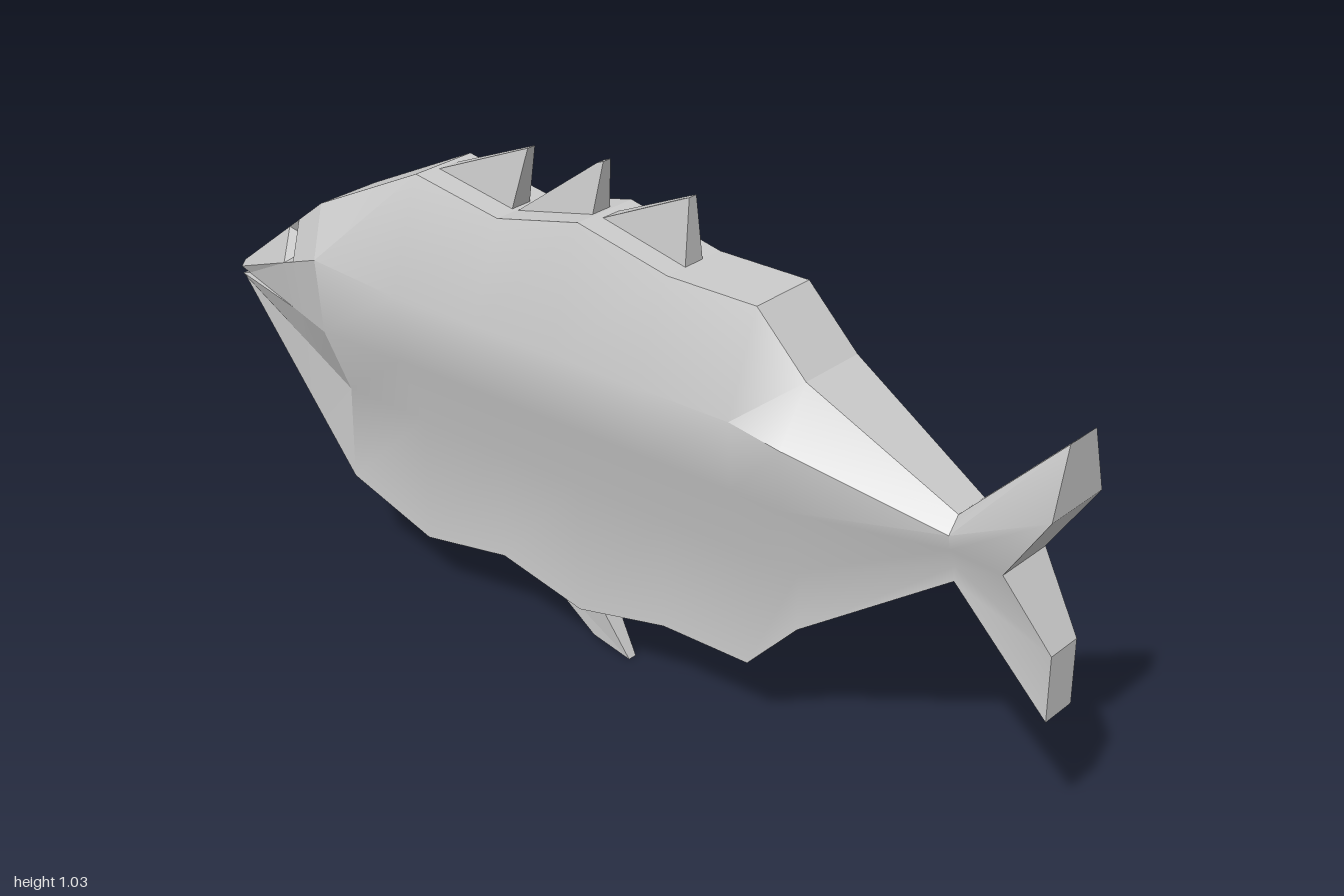
import * as THREE from 'three';
import { toCreasedNormals } from 'three/addons/utils/BufferGeometryUtils.js';

const flip = ([x, y, z]) => [x, y, -z];
const mirrored = (quads) => quads.map((q) => q.map(flip).reverse());
const mix = (a, b, t) => a.map((v, k) => v + (b[k] - v) * t);

// Mesh from convex polygons, flat or with smoothed shallow creases
function makeMesh(name, polys, crease = 0) {
  const pos = [];
  for (const p of polys)
    for (let i = 1; i < p.length - 1; i++) pos.push(...p[0], ...p[i], ...p[i + 1]);
  let geo = new THREE.BufferGeometry();
  geo.setAttribute('position', new THREE.Float32BufferAttribute(pos, 3));
  if (crease) geo = toCreasedNormals(geo, crease);
  else geo.computeVertexNormals();
  const mesh = new THREE.Mesh(geo, new THREE.MeshStandardMaterial({ color: 0xcccccc, flatShading: !crease }));
  mesh.name = name;
  return mesh;
}

// Flank between sections; each section lists [x, y, half width] from back to belly
function flank(sections, skip = () => false) {
  const quads = [];
  for (let i = 0; i < sections.length - 1; i++)
    for (let j = 0; j < sections[i].length - 1; j++)
      if (!skip(i, j)) quads.push([sections[i][j + 1], sections[i + 1][j + 1], sections[i + 1][j], sections[i][j]]);
  return quads;
}

// Strips across the back and belly
function ridges(sections) {
  const quads = [];
  for (let i = 0; i < sections.length - 1; i++) {
    const a = sections[i], b = sections[i + 1], n = a.length - 1;
    quads.push([a[0], b[0], flip(b[0]), flip(a[0])]);
    quads.push([flip(a[n]), flip(b[n]), b[n], a[n]]);
  }
  return quads;
}

// Closing faces of an end section, facing +x
const endCap = (s) => s.slice(1).map((p, j) => [p, flip(p), flip(s[j]), s[j]]);

// Tapered fin from an outline of [x, y, half width], counterclockwise
function fin(name, outline) {
  const sides = outline.map((p, i) => {
    const q = outline[(i + 1) % outline.length];
    return [q, p, flip(p), flip(q)];
  });
  return makeMesh(name, [outline, outline.map(flip).reverse(), ...sides]);
}

export function createModel() {
  const fish = new THREE.Group();
  fish.name = 'fish';

  // Trunk sections: x, back height, belly height
  const trunkRows = [
    [-0.43, 0.92, 0.13], [-0.22, 0.885, 0.165], [-0.02, 0.93, 0.12],
    [0.19, 0.885, 0.165], [0.39, 0.885, 0.165],
  ];
  const neck = [[-0.7, 0.79, 0.075], [-0.64, 0.71, 0.156], [-0.64, 0.55, 0.14], [-0.64, 0.4, 0.075], [-0.64, 0.2, 0.075]];
  const trunk = trunkRows.map(([x, top, bottom]) => [
    [x, top, 0.075], [x, 0.69, 0.148], [x, 0.55, 0.14], [x, 0.4, 0.075], [x, bottom, 0.075],
  ]);
  const rear = [[0.5, 0.775, 0.075], [0.5, 0.67, 0.146], [0.5, 0.55, 0.138], [0.5, 0.4, 0.075], [0.5, 0.28, 0.075]];
  const tailRoot = [[0.8, 0.61, 0.04], [0.8, 0.58, 0.066], [0.8, 0.55, 0.06], [0.8, 0.51, 0.04], [0.8, 0.48, 0.04]];
  const tailEnd = [[1, 0.81, 0.04], [1, 0.68, 0.077], [0.91, 0.545, 0.066], [1, 0.41, 0.04], [1, 0.28, 0.04]];

  // Body and forked tail
  const body = [neck, ...trunk, rear, tailRoot, tailEnd];
  const side = flank(body);
  fish.add(makeMesh('bodySides', [...side, ...mirrored(side)], 0.6));
  fish.add(makeMesh('backAndBelly', ridges(body)));
  fish.add(makeMesh('tailEdge', endCap(tailEnd)));

  // Head, narrowing to a slightly open mouth, with a gap left for each eye
  const mouth = [[-1, 0.57, 0.025], [-1, 0.558, 0.036], [-0.975, 0.55, 0.036], [-1, 0.542, 0.033], [-1, 0.53, 0.025]];
  const head = [0, 0.6, 0.72, 1].map((t) => mouth.map((p, j) => mix(p, neck[j], t)));
  const cheek = flank(head, (i, j) => i === 1 && j === 0);
  const lips = endCap(mouth).map((q) => q.reverse());
  fish.add(makeMesh('head', [...cheek, ...mirrored(cheek), ...ridges(head), ...lips]));

  // Recessed eyes
  const rim = [head[1][1], head[2][1], head[2][0], head[1][0]];
  const centre = [0, 1, 2].map((k) => rim.reduce((s, p) => s + p[k] / 4, 0));
  const floor = rim.map((p) => {
    const [x, y, z] = mix(p, centre, 0.3);
    return [x + 0.004, y - 0.005, z - 0.018];
  });
  const eye = [floor, ...rim.map((p, k) => [p, rim[(k + 1) % 4], floor[(k + 1) % 4], floor[k]])];
  fish.add(makeMesh('leftEye', eye), makeMesh('rightEye', mirrored(eye)));

  // Three swept fins on the back
  const dorsal = [
    [[-0.42, 0.918], [-0.23, 0.88], [-0.2, 1.01]],
    [[-0.22, 0.883], [-0.03, 0.92], [-0.015, 1.03]],
    [[-0.01, 0.925], [0.19, 0.88], [0.185, 1.012]],
  ];
  dorsal.forEach(([front, back, [x, y]], i) => {
    fish.add(fin(`dorsalFin${i + 1}`, [
      [...front, 0.022], [...back, 0.025], [x, y, 0.01], [x - 0.015, y - 0.006, 0.01],
    ]));
  });

  // Single fin under the belly
  fish.add(fin('bellyFin', [[-0.22, 0.168, 0.022], [-0.04, 0.025, 0.012], [0.05, 0.003, 0.01], [-0.025, 0.125, 0.024]]));

  return fish;
}
